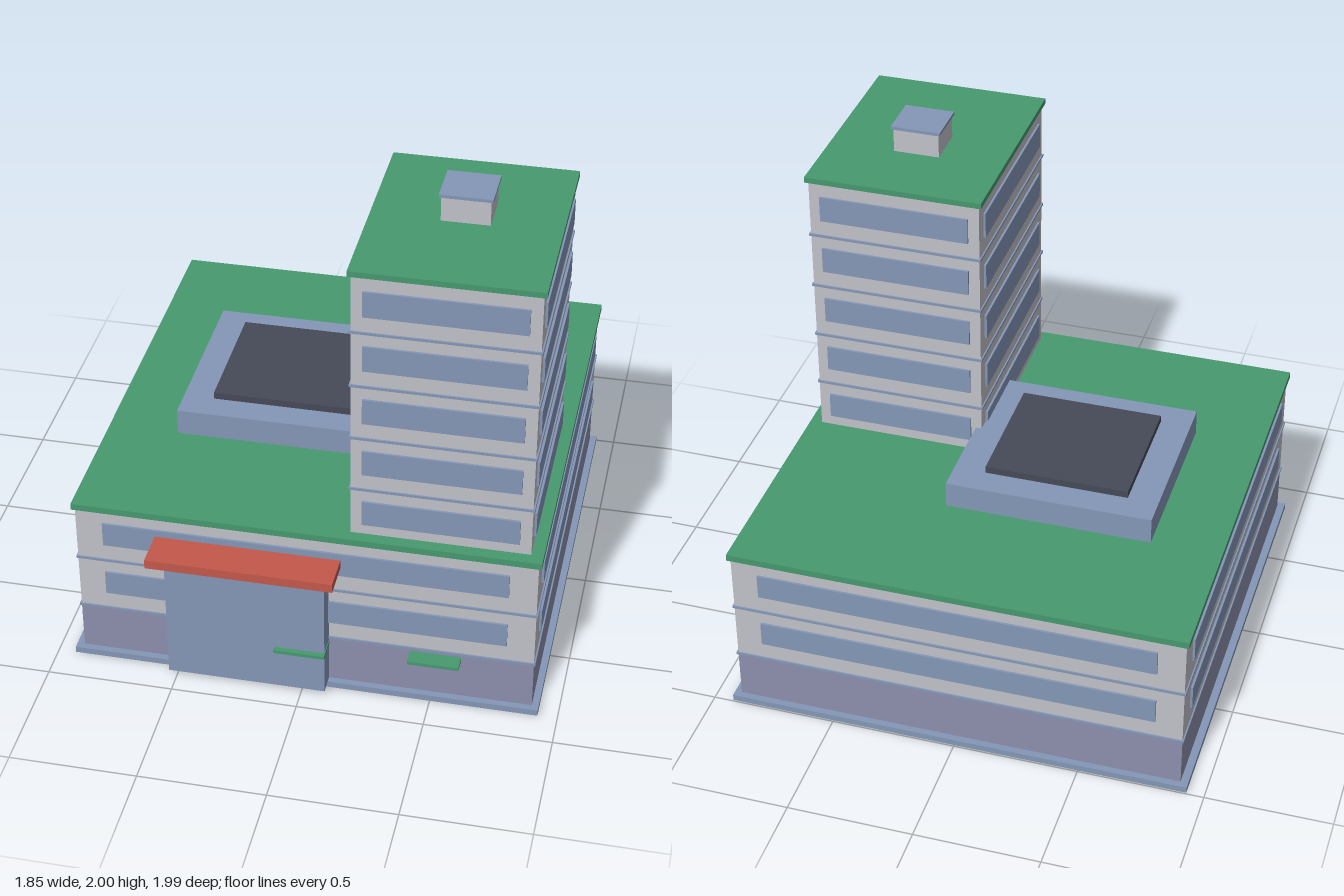
import * as THREE from 'three';

const mat = (name, color) => {
  const m = new THREE.MeshStandardMaterial({ color });
  m.name = name;
  return m;
};

export function createModel() {
  const model = new THREE.Group();
  model.name = 'building';
  const wall = mat('pale grey wall', 0xc1c1c9);
  const plinth = mat('mauve grey', 0x8c8fac);
  const glass = mat('slate blue', 0x8497b7);
  const green = mat('roof green', 0x46996f);
  const red = mat('canopy red', 0xc4584a);
  const dark = mat('charcoal', 0x464a58);

  // Box given by its limits on each axis
  function box(name, material, [x0, x1], [y0, y1], [z0, z1], parent = model) {
    const mesh = new THREE.Mesh(new THREE.BoxGeometry(x1 - x0, y1 - y0, z1 - z0), material);
    mesh.position.set((x0 + x1) / 2, (y0 + y1) / 2, (z0 + z1) / 2);
    mesh.name = name;
    parent.add(mesh);
    return mesh;
  }
  const grow = ([a, b], d) => [a - d, b + d];

  // A strip window on each of the four walls
  function windowRing(x, z, y, inset, parent) {
    const t = 0.009;
    const wx = grow(x, -inset[0]), wz = grow(z, -inset[1]);
    box('frontWindow', glass, wx, y, [z[1], z[1] + t], parent);
    box('backWindow', glass, wx, y, [z[0] - t, z[0]], parent);
    box('leftWindow', glass, [x[1], x[1] + t], y, wz, parent);
    box('rightWindow', glass, [x[0] - t, x[0]], y, wz, parent);
  }

  // Broad lower block
  const px = [-0.9, 0.896], pz = [-0.967, 0.835];
  const podium = new THREE.Group();
  podium.name = 'podium';
  model.add(podium);
  box('baseSlab', glass, [-0.93, 0.923], [0, 0.026], [-0.994, 0.862], podium);
  box('groundFloor', plinth, px, [0.026, 0.228], pz, podium);
  box('upperFloors', wall, px, [0.228, 0.702], pz, podium);
  box('podiumRoof', green, grow(px, 0.012), [0.702, 0.729], grow(pz, 0.012), podium);
  for (let i = 0; i < 2; i++) {
    const y = 0.228 + i * 0.236;
    box('floorBand', glass, grow(px, 0.006), [y, y + 0.01], grow(pz, 0.006), podium);
    windowRing(px, pz, [y + 0.082, y + 0.184], [0.107, 0.107], podium);
  }

  // Tower
  const tx = [0.172, 0.86], tz = [-0.053, 0.798];
  const tower = new THREE.Group();
  tower.name = 'tower';
  model.add(tower);
  box('towerWalls', wall, tx, [0.729, 1.866], tz, tower);
  box('towerRoof', green, grow(tx, 0.012), [1.866, 1.889], grow(tz, 0.012), tower);
  for (let i = 0; i < 5; i++) {
    const y = 0.775 + i * 0.2315;
    windowRing(tx, tz, [y, y + 0.106], [0.044, 0.055], tower);
    if (i) box('floorBand', glass, grow(tx, 0.006), [y - 0.076, y - 0.066], grow(tz, 0.006), tower);
  }
  box('roofHut', wall, [0.423, 0.607], [1.889, 1.987], [0.229, 0.399], tower);
  box('roofHutCap', glass, [0.415, 0.615], [1.987, 2], [0.221, 0.405], tower);

  // Raised skylight on the podium roof
  box('skylightBase', glass, [-0.63, 0.197], [0.729, 0.836], [-0.443, 0.308]);
  box('skylightPanel', dark, [-0.507, 0.069], [0.836, 0.865], [-0.331, 0.197]);

  // Entrance with its canopy and the small front ledges
  box('entrance', glass, [-0.531, 0.095], [0.024, 0.584], [0.83, 0.918]);
  box('canopy', red, [-0.584, 0.143], [0.584, 0.621], [0.842, 0.994]);
  box('entranceLedge', green, [-0.103, 0.098], [0.203, 0.217], [0.84, 0.94]);
  box('wallLedge', green, [0.415, 0.615], [0.203, 0.217], [0.83, 0.9]);

  return model;
}
